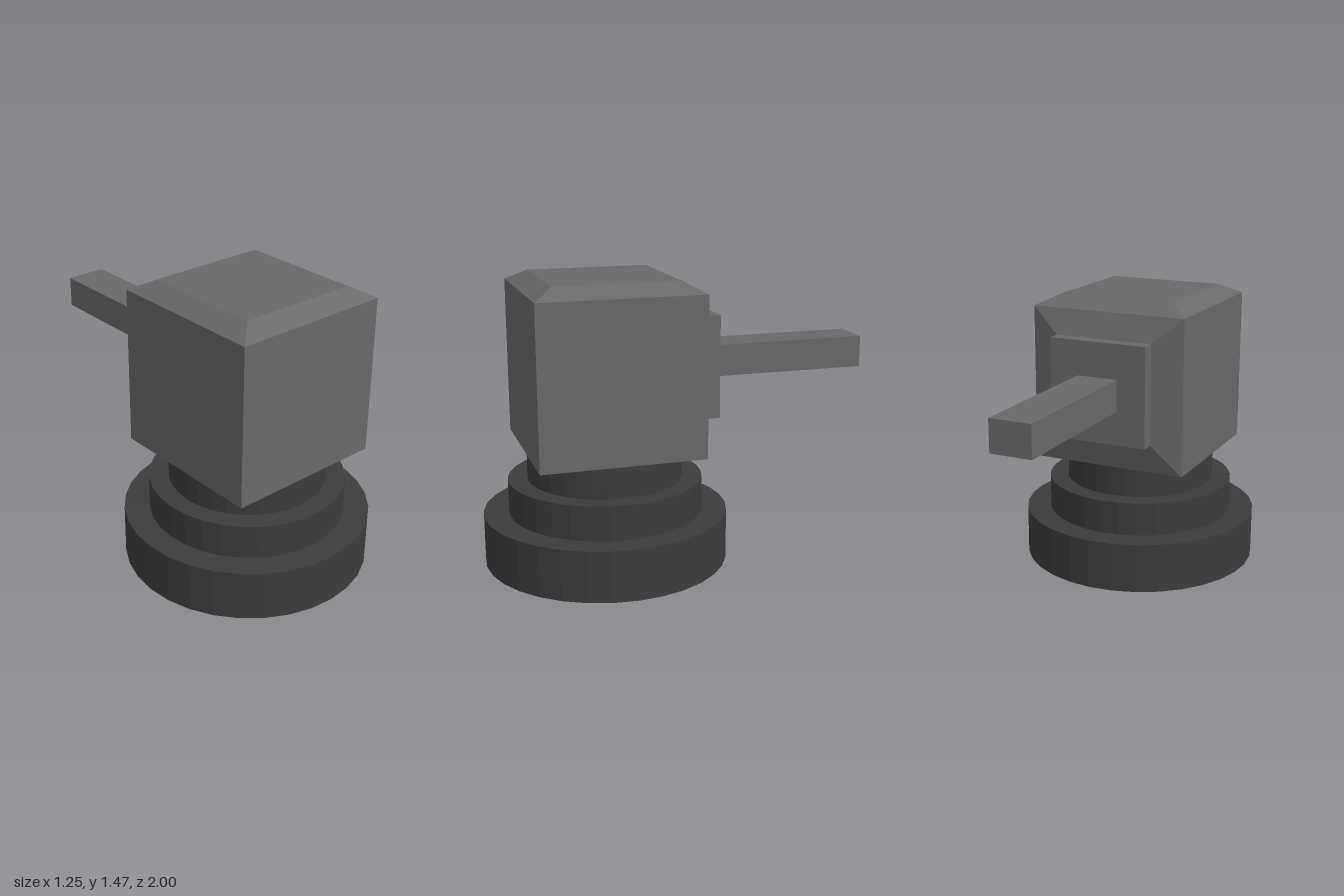
import * as THREE from 'three';

const AXIS_Z = 0.373; // centre line of the base and housing

export function createModel() {
  const model = new THREE.Group();
  const dark = new THREE.MeshStandardMaterial({ color: 0x3c3c3c, flatShading: true });
  const mid = new THREE.MeshStandardMaterial({ color: 0x686868, flatShading: true });

  const add = (name, geometry, material, x, y, z) => {
    const mesh = new THREE.Mesh(geometry, material);
    mesh.name = name;
    mesh.position.set(x, y, z);
    model.add(mesh);
    return mesh;
  };

  // Box whose upper face is scaled to form a bevelled cap
  const bevelBox = (w, h, d, topW, topD, shiftZ = 0) => {
    const geometry = new THREE.BoxGeometry(w, h, d);
    const p = geometry.attributes.position;
    for (let i = 0; i < p.count; i++) {
      if (p.getY(i) > 0) {
        p.setX(i, Math.sign(p.getX(i)) * topW / 2);
        p.setZ(i, Math.sign(p.getZ(i)) * topD / 2 + shiftZ);
      }
    }
    geometry.computeVertexNormals();
    return geometry;
  };

  // Stepped round base: radius, bottom, top
  [
    ['baseDisc', 0.627, 0, 0.26],
    ['middleDisc', 0.498, 0.26, 0.436],
    ['neck', 0.398, 0.436, 0.6],
  ].forEach(([name, r, y0, y1]) => {
    add(name, new THREE.CylinderGeometry(r, r, y1 - y0, 32), dark, 0, (y0 + y1) / 2, AXIS_Z);
  });

  // Square housing with a bevelled top
  add('housing', new THREE.BoxGeometry(0.832, 0.81, 0.832), mid, 0, 1.005, AXIS_Z);
  add('topBevel', bevelBox(0.832, 0.055, 0.832, 0.62, 0.63), mid, 0, 1.4375, AXIS_Z);

  // Rear bevel, turned so that its narrow end faces the back
  const rear = add('rearBevel', bevelBox(0.832, 0.047, 0.81, 0.524, 0.52, 0.015), mid, 0, 1.005, -0.0665);
  rear.rotation.x = -Math.PI / 2;

  // Rear plate and square shaft
  add('rearPlate', new THREE.BoxGeometry(0.524, 0.52, 0.068), mid, 0, 1.02, -0.124);
  add('shaft', new THREE.BoxGeometry(0.216, 0.163, 0.842), mid, 0, 1.018, -0.579);

  return model;
}
